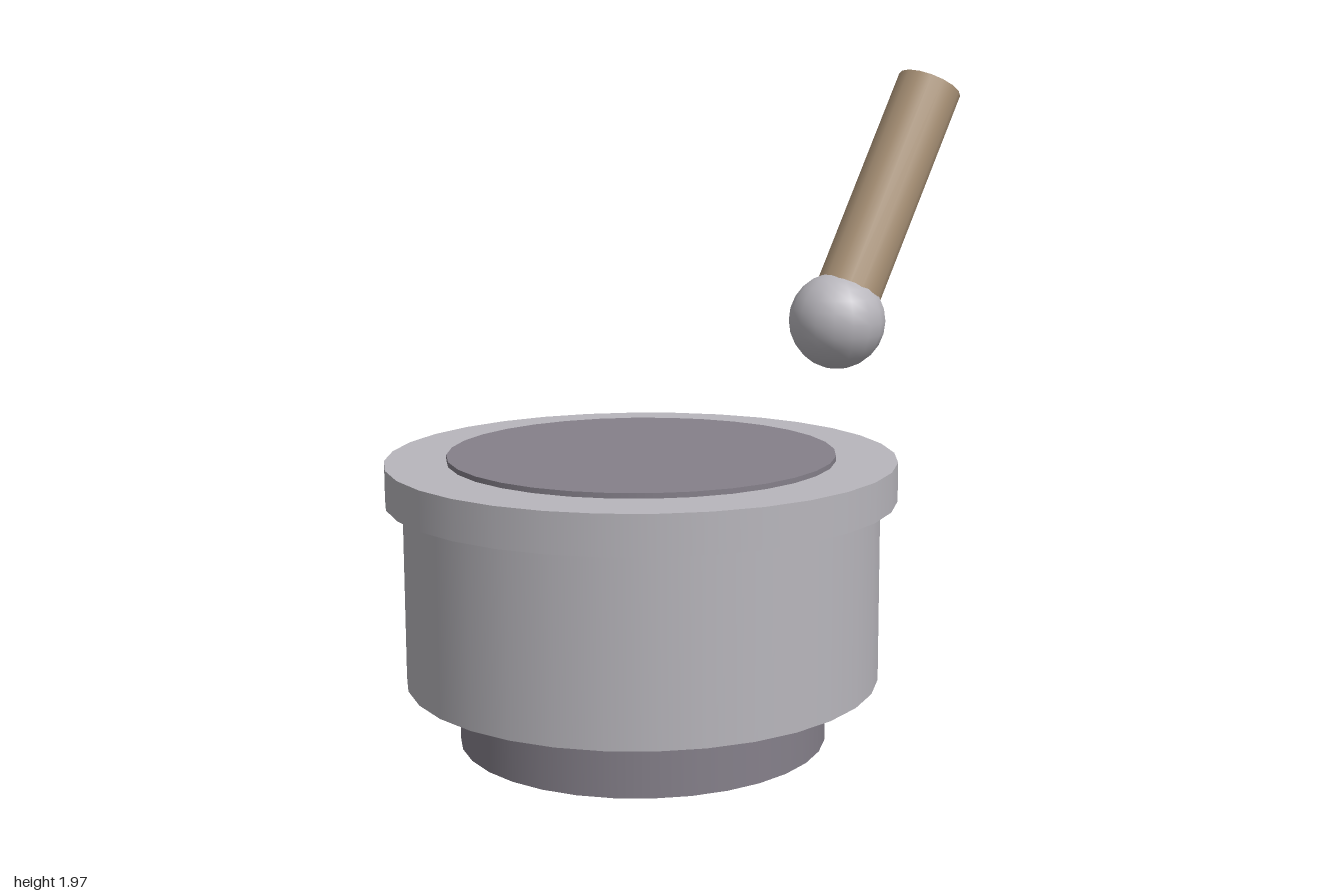
import * as THREE from 'three';

function material(name, color) {
  const m = new THREE.MeshStandardMaterial({ color });
  m.name = name;
  return m;
}

export function createModel() {
  const group = new THREE.Group();
  const metal = material('light grey metal', 0xb8b6bc);
  const dark = material('dark grey', 0x85808a);
  const wood = material('tan wood', 0xae967a);

  function add(parent, name, geometry, mat, x, y) {
    const mesh = new THREE.Mesh(geometry, mat);
    mesh.name = name;
    mesh.position.set(x, y, 0);
    parent.add(mesh);
    return mesh;
  }

  // Stacked round body: name, radius, bottom, top, material
  const drum = new THREE.Group();
  drum.name = 'drum';
  drum.position.x = -0.25;
  group.add(drum);
  for (const [name, radius, bottom, top, mat] of [
    ['foot', 0.545, 0, 0.19, dark],
    ['body', 0.7, 0.19, 0.73, metal],
    ['rim', 0.75, 0.73, 0.845, metal],
    ['topDisc', 0.57, 0.845, 0.86, dark],
  ]) {
    const geometry = new THREE.CylinderGeometry(radius, radius, top - bottom, 32);
    add(drum, name, geometry, mat, 0, (bottom + top) / 2);
  }

  // Floating beater: ball with a handle leaning to +x
  const beater = new THREE.Group();
  beater.name = 'beater';
  beater.position.set(0.516, 1.187, 0);
  beater.rotation.z = -THREE.MathUtils.degToRad(28);
  group.add(beater);
  const ball = add(beater, 'ball', new THREE.SphereGeometry(0.152, 16, 12), metal, 0, 0);
  ball.rotation.z = -beater.rotation.z;
  add(beater, 'handle', new THREE.CylinderGeometry(0.104, 0.104, 0.827, 16), wood, 0, 0.4135);

  return group;
}
